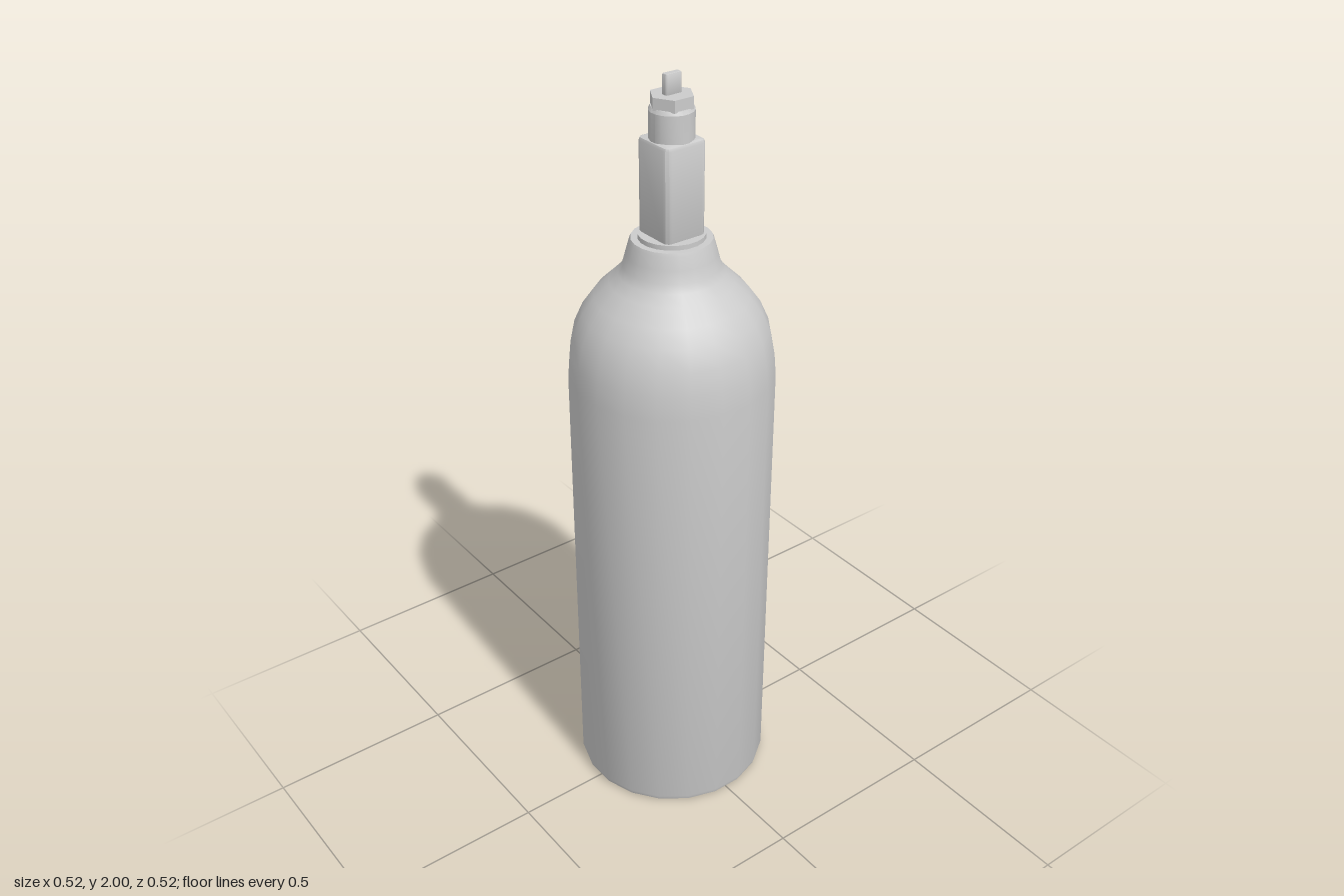
import * as THREE from 'three';
import { toCreasedNormals } from 'three/addons/utils/BufferGeometryUtils.js';

const material = new THREE.MeshStandardMaterial({ color: 0xcccccc });

function part(name, geometry, crease = 0.5) {
  const mesh = new THREE.Mesh(toCreasedNormals(geometry, crease), material);
  mesh.name = name;
  return mesh;
}

// Turned part from [radius, height] pairs, listed bottom to top
function turned(name, profile, sides = 20) {
  const points = profile.map(([r, y]) => new THREE.Vector2(r, y));
  return part(name, new THREE.LatheGeometry(points, sides, Math.PI / sides));
}

// Upright block with rounded corners and bevelled ends
function block(name, width, depth, y0, y1, corner, bevel) {
  const w = width / 2 - bevel, d = depth / 2 - bevel;
  const s = new THREE.Shape();
  s.moveTo(-w + corner, -d);
  s.lineTo(w - corner, -d);
  s.quadraticCurveTo(w, -d, w, -d + corner);
  s.lineTo(w, d - corner);
  s.quadraticCurveTo(w, d, w - corner, d);
  s.lineTo(-w + corner, d);
  s.quadraticCurveTo(-w, d, -w, d - corner);
  s.lineTo(-w, -d + corner);
  s.quadraticCurveTo(-w, -d, -w + corner, -d);
  const geometry = new THREE.ExtrudeGeometry(s, {
    depth: y1 - y0 - 2 * bevel, curveSegments: 3,
    bevelThickness: bevel, bevelSize: bevel, bevelSegments: 2,
  });
  geometry.rotateX(-Math.PI / 2).translate(0, y0 + bevel, 0);
  return part(name, geometry);
}

export function createModel() {
  const model = new THREE.Group();
  model.name = 'gasCylinder';

  // Tank with domed shoulder and flared neck
  model.add(turned('tank', [
    [0, 0], [0.247, 0], [0.257, 0.005], [0.261, 0.018], [0.261, 1.24],
    [0.256, 1.3], [0.244, 1.36], [0.222, 1.41], [0.193, 1.45],
    [0.155, 1.487], [0.132, 1.51], [0.12, 1.53], [0.112, 1.56],
    [0.103, 1.592], [0.1, 1.6], [0, 1.6],
  ]));

  // Raised seat between neck and valve
  model.add(turned('neckRing', [[0, 1.598], [0.083, 1.598], [0.083, 1.612], [0, 1.612]]));

  // Valve body, bonnet, hexagonal nut and flat spindle
  model.add(block('valveBody', 0.118, 0.118, 1.605, 1.848, 0.008, 0.009));
  model.add(turned('valveBonnet', [
    [0, 1.84], [0.055, 1.84], [0.055, 1.915], [0.05, 1.924], [0, 1.924],
  ]));
  const nut = part('hexNut', new THREE.CylinderGeometry(0.054, 0.054, 0.03, 6));
  nut.rotation.y = Math.PI / 6 + Math.PI / 3 * 1;
  nut.position.y = 1.936;
  model.add(nut);
  model.add(block('spindle', 0.045, 0.018, 1.945, 2, 0.002, 0.003));

  return model;
}
